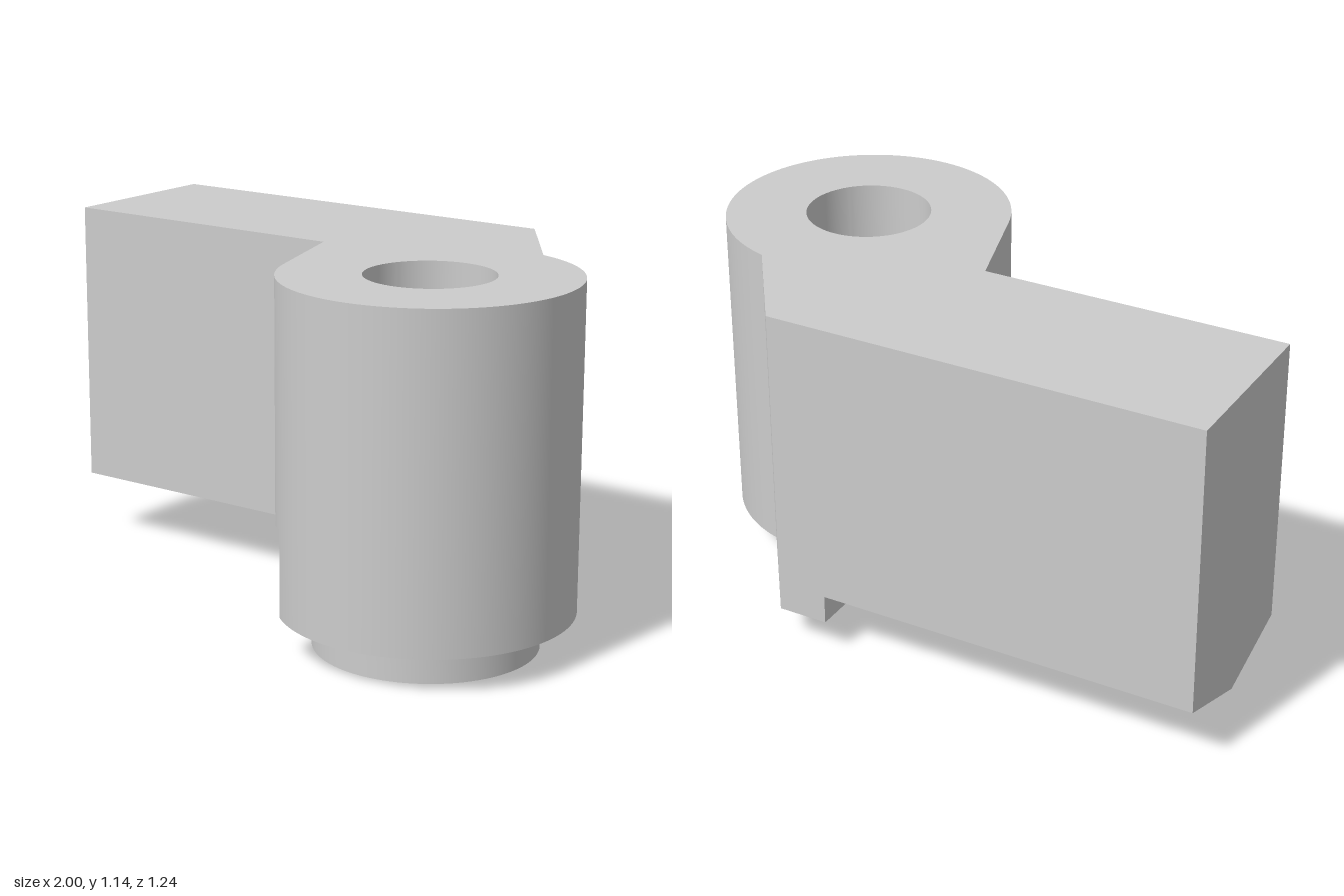
import * as THREE from 'three';
import { toCreasedNormals } from 'three/addons/utils/BufferGeometryUtils.js';

// Plan outlines are drawn in (x, -z) and extruded upward.
const CX = 0.543, CY = -0.165, R = 0.457;   // round head
const STEP = 0.252;                         // where the keeled underside stops
const BACK = 0.622, FRONT = 0.045, RIDGE = 0.335;
const BASE = 0.117, TOP = 1.145, KEEL = 0.33;
const WEB_LOW = 0.45, WEB_HIGH = 0.6;       // floor between socket and counterbore

const grey = new THREE.MeshStandardMaterial({ color: 0xcccccc });
grey.name = 'grey';

function extrudeUp(name, shape, y0, y1, rule) {
  const geo = new THREE.ExtrudeGeometry(shape, { depth: y1 - y0, bevelEnabled: false, curveSegments: 64 });
  geo.rotateX(-Math.PI / 2).translate(0, y0, 0);
  if (rule) {
    const p = geo.attributes.position;
    for (let i = 0; i < p.count; i++) if (p.getY(i) < y0 + 0.001) p.setY(i, rule(p.getZ(i)));
  }
  const mesh = new THREE.Mesh(toCreasedNormals(geo, 0.45), grey);
  mesh.name = name;
  return mesh;
}

const circle = (r, Type = THREE.Path) => new Type().absarc(CX, CY, r, 0, Math.PI * 2, false);

// Toothed outline of the socket
function splinePath(teeth = 20, outer = 0.195, inner = 0.168) {
  const pts = [];
  for (let i = 0; i < teeth * 2; i++) {
    const a = (i / teeth) * Math.PI, r = i % 2 ? inner : outer;
    pts.push(new THREE.Vector2(CX + r * Math.cos(a), CY + r * Math.sin(a)));
  }
  return new THREE.Path(pts);
}

export function createModel() {
  const group = new THREE.Group();
  group.name = 'leverArm';
  const keel = z => BASE + KEEL * Math.abs(z + RIDGE);
  const stepAngle = -Math.acos((STEP - CX) / R);

  // Head: round end with the angled back shoulder
  const head = new THREE.Shape();
  head.moveTo(STEP, BACK);
  head.lineTo(0.417, BACK);
  head.absarc(CX, CY, R, Math.atan2(0.44, 0.117), stepAngle, true);
  head.closePath();
  head.holes.push(circle(0.2));
  group.add(extrudeUp('head', head, BASE, TOP));

  // Arm, back half: underside slopes up to the back
  const armBack = new THREE.Shape();
  armBack.moveTo(-1, RIDGE);
  armBack.lineTo(STEP, RIDGE);
  armBack.lineTo(STEP, BACK);
  armBack.lineTo(-1, BACK);
  armBack.closePath();
  group.add(extrudeUp('armBack', armBack, BASE, TOP, keel));

  // Arm, front half: flank runs tangent into the round head
  const dx = -CX, dy = FRONT - CY;
  const tangent = Math.atan2(dy, dx) + Math.acos(R / Math.hypot(dx, dy)) - Math.PI * 2;
  const armFront = new THREE.Shape();
  armFront.moveTo(-1, RIDGE);
  armFront.lineTo(STEP, RIDGE);
  armFront.absarc(CX, CY, R, stepAngle, tangent, true);
  armFront.lineTo(0, FRONT);
  armFront.lineTo(-1, FRONT);
  armFront.closePath();
  group.add(extrudeUp('armFront', armFront, BASE, TOP, keel));

  // Boss under the head, cut flat on the arm side
  const bossR = 0.348, flat = Math.acos((STEP - CX) / bossR);
  const boss = new THREE.Shape();
  boss.absarc(CX, CY, bossR, -flat, flat, false);
  boss.closePath();
  boss.holes.push(splinePath());
  group.add(extrudeUp('boss', boss, 0, BASE));

  // Toothed socket and screw seat inside the bore
  const socket = circle(0.2, THREE.Shape);
  socket.holes.push(splinePath());
  group.add(extrudeUp('splineSocket', socket, BASE, WEB_LOW));

  const seat = circle(0.2, THREE.Shape);
  seat.holes.push(circle(0.1));
  group.add(extrudeUp('screwSeat', seat, WEB_LOW, WEB_HIGH));

  return group;
}
